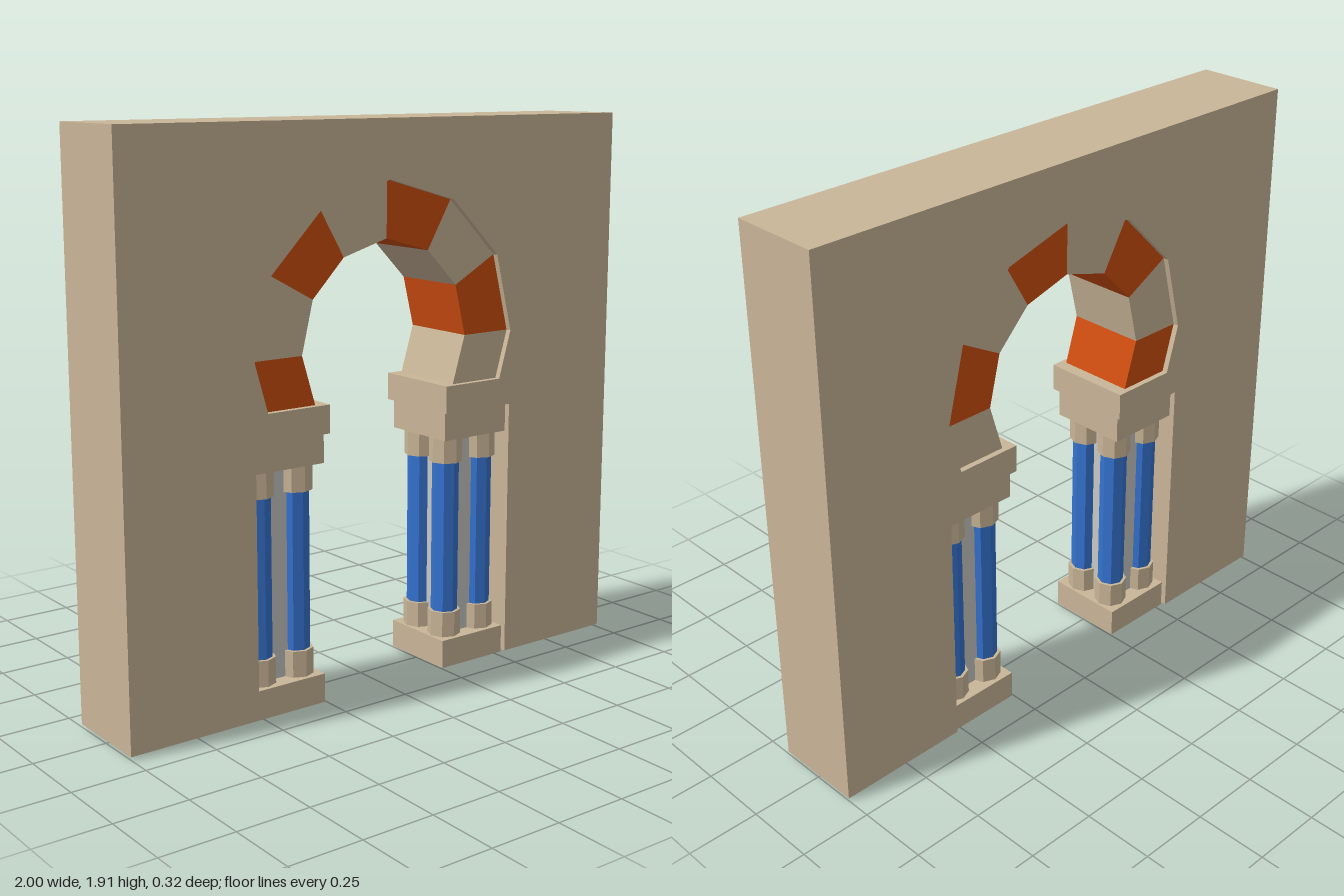
import * as THREE from 'three';

export function createModel() {
  const model = new THREE.Group();
  const mat = (name, color) => {
    const m = new THREE.MeshStandardMaterial({ color, flatShading: true });
    m.name = name;
    return m;
  };
  const sandstone = mat('sandstone', 0xcab698);
  const terracotta = mat('terracotta', 0xd04e10);
  const blue = mat('blue', 0x3573d0);
  const paleGrey = mat('paleGrey', 0xc9cac6);

  const add = (parent, name, geometry, material, x = 0, y = 0, z = 0) => {
    const mesh = new THREE.Mesh(geometry, material);
    mesh.name = name;
    mesh.position.set(x, y, z);
    parent.add(mesh);
    return mesh;
  };
  // Extrude an outline of [x, y] points, centred on z = 0
  const slab = (points, depth) => {
    const shape = new THREE.Shape(points.map(([x, y]) => new THREE.Vector2(x, y)));
    return new THREE.ExtrudeGeometry(shape, { depth, bevelEnabled: false })
      .translate(0, 0, -depth / 2);
  };
  const mirror = (points) => points.map(([x, y]) => [-x, y]);

  // Half outlines of the horseshoe arch, from springing to crown
  const outerHalf = [[0.482, 1.015], [0.53, 1.18], [0.463, 1.447], [0.268, 1.643], [0, 1.72]];
  const innerHalf = [[0.288, 1.015], [0.338, 1.18], [0.295, 1.355], [0.173, 1.48], [0, 1.53]];
  const fullArc = (half) => [...half, ...mirror(half).reverse().slice(1)];
  const outer = fullArc(outerHalf);
  const inner = fullArc(innerHalf);

  // Wall with the doorway cut out
  const jamb = [[0.53, 0.01], [0.53, 1.015]];
  add(model, 'wall', slab([
    [1, 0.01], [1, 1.915], [-1, 1.915], [-1, 0.01],
    ...mirror(jamb), ...outer.slice().reverse(), ...jamb.slice().reverse(),
  ], 0.32), sandstone);

  // Alternating arch stones, slightly recessed in the wall
  const arch = new THREE.Group();
  arch.name = 'arch';
  for (let i = 0; i < outer.length - 1; i++) {
    add(arch, 'archStone', slab([outer[i], outer[i + 1], inner[i + 1], inner[i]], 0.28),
      i % 2 ? terracotta : sandstone);
  }
  model.add(arch);

  // Piers: four columns around a core, between a base and an impost
  const shaftGeo = new THREE.CylinderGeometry(0.047, 0.047, 0.54, 8);
  const collarGeo = new THREE.CylinderGeometry(0.058, 0.058, 0.09, 8);
  const plinthGeo = new THREE.BoxGeometry(0.275, 0.1, 0.28);
  for (const side of [-1, 1]) {
    const pier = new THREE.Group();
    pier.name = side > 0 ? 'leftPier' : 'rightPier';
    add(pier, 'base', plinthGeo, sandstone, side * 0.3925, 0.05);
    add(pier, 'capitalBlock', plinthGeo, sandstone, side * 0.3925, 0.87);
    add(pier, 'impost', new THREE.BoxGeometry(0.286, 0.095, 0.32), sandstone, side * 0.387, 0.9675);
    add(pier, 'core', new THREE.BoxGeometry(0.16, 0.72, 0.16), paleGrey, side * 0.395, 0.46);
    for (const dx of [-0.075, 0.075]) {
      for (const z of [-0.068, 0.068]) {
        const x = side * 0.395 + dx;
        add(pier, 'columnShaft', shaftGeo, blue, x, 0.46, z);
        add(pier, 'columnFoot', collarGeo, sandstone, x, 0.145, z);
        add(pier, 'columnCapital', collarGeo, sandstone, x, 0.775, z);
      }
    }
    model.add(pier);
  }
  return model;
}
